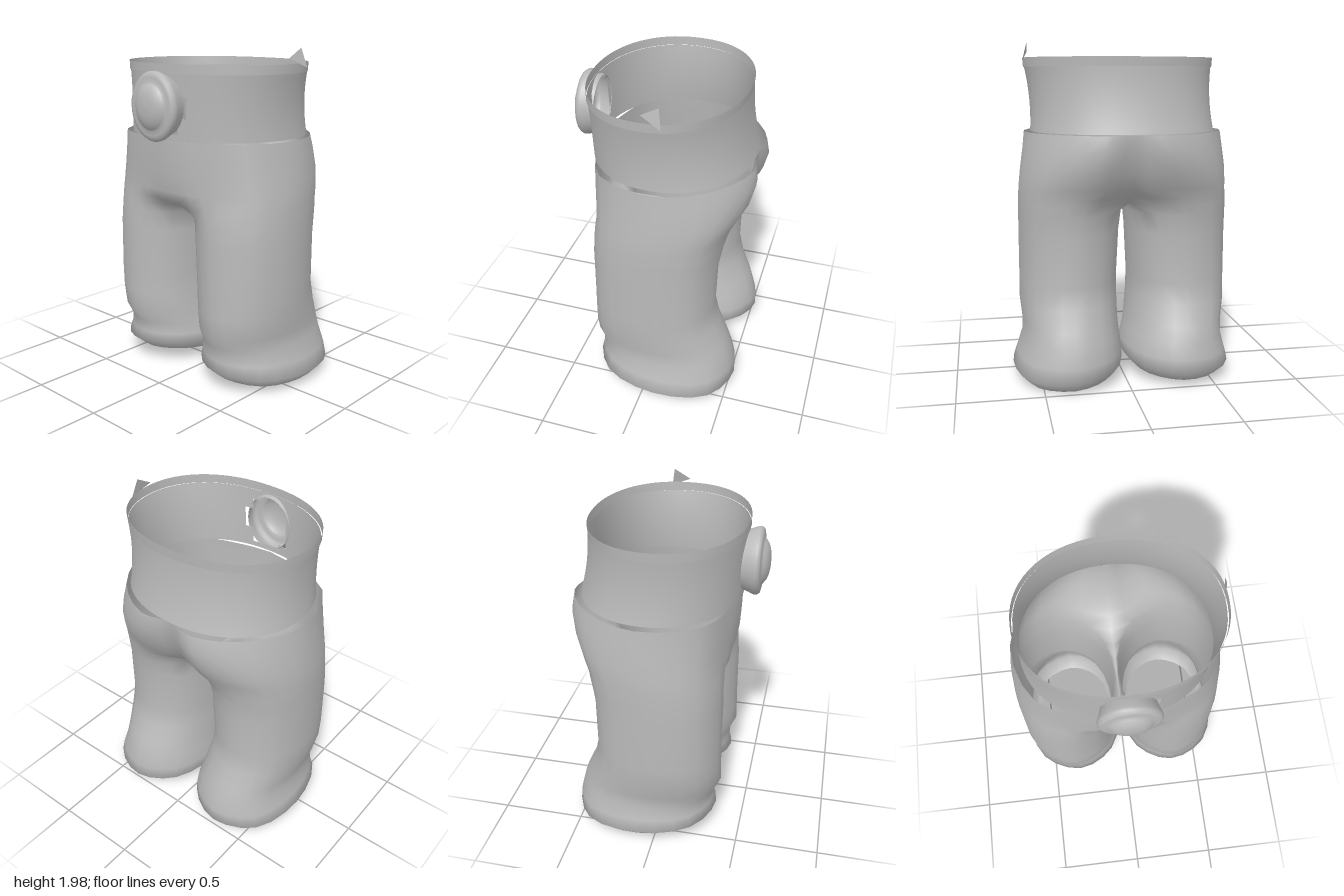
import * as THREE from 'three';
import { mergeVertices } from 'three/addons/utils/BufferGeometryUtils.js';

const cloth = new THREE.MeshStandardMaterial({ color: 0xbababa, side: THREE.DoubleSide });
cloth.name = 'plain grey';

const STEP = 3;            // samples per span of a cross-section
const OUT = 6 * STEP;      // columns from front seam round the outside to back seam
const ALL = 8 * STEP;      // columns of a full leg ring

// Hip rows, open at the seam:
// y, outer x, bulge x, bulge front z, bulge back z, seam front z, seam back z, back corner fullness
const hipRows = [
  [1.49, 0.592, 0.18, 0.385, -0.54, 0.415, -0.51, 0.65],
  [1.40, 0.602, 0.19, 0.385, -0.555, 0.412, -0.50, 0.66],
  [1.28, 0.618, 0.22, 0.375, -0.525, 0.405, -0.465, 0.69],
  [1.18, 0.627, 0.25, 0.367, -0.47, 0.39, -0.41, 0.72],
  [1.125, 0.63, 0.27, 0.365, -0.44, 0.37, -0.35, 0.73],
  [1.08, 0.631, 0.28, 0.365, -0.425, 0.29, -0.28, 0.74],
];
// Leg rows, closed rings: y, outer x, middle x, front z, back z, inner x
const legRows = [
  [1.02, 0.632, 0.30, 0.365, -0.41, 0.012],
  [0.90, 0.632, 0.32, 0.37, -0.39, 0.025],
  [0.60, 0.632, 0.33, 0.37, -0.385, 0.04],
  [0.48, 0.63, 0.33, 0.372, -0.415, 0.037],
  [0.36, 0.61, 0.33, 0.372, -0.47, 0.03],
  [0.28, 0.606, 0.32, 0.335, -0.50, 0.02],
  [0.19, 0.635, 0.32, 0.33, -0.525, 0.003],
  [0.115, 0.66, 0.32, 0.345, -0.53, 0.0],
  [0.05, 0.60, 0.32, 0.26, -0.46, 0.055],
];

const v = (x, z) => new THREE.Vector3(x, 0, z);

// Control points from the front bulge round the outside to the back bulge
function outerPoints(xo, cx, zf, zb, kb) {
  const zm = (zf + zb) / 2, k = 0.73;
  return [
    v(cx, zf), v(cx + (xo - cx) * k, zm + (zf - zm) * k), v(xo, zm),
    v(cx + (xo - cx) * kb, zm + (zb - zm) * kb), v(cx, zb),
  ];
}

function hipRing([y, xo, cx, zf, zb, sf, sb, kb]) {
  const curve = new THREE.CatmullRomCurve3([v(0, sf), ...outerPoints(xo, cx, zf, zb, kb), v(0, sb)]);
  const pts = [];
  for (let i = 0; i <= OUT; i++) pts.push(curve.getPoint(i / OUT));
  for (let i = 1; i <= ALL - OUT; i++) pts.push(v(0, sb + (sf - sb) * i / (ALL - OUT)));
  return pts.map((p) => p.setY(y));
}

function legRing([y, xo, cx, zf, zb, xi]) {
  const zm = (zf + zb) / 2, k = 0.72, xc = cx + (xi - cx) * k;
  const curve = new THREE.CatmullRomCurve3([
    v(xc, zm + (zf - zm) * k), ...outerPoints(xo, cx, zf, zb, 0.74), v(xc, zm + (zb - zm) * k), v(xi, zm),
  ], true);
  const pts = [];
  for (let i = 0; i <= ALL; i++) pts.push(curve.getPoint(i / ALL));
  return pts.map((p) => p.setY(y));
}

// Turns rows of points into a smooth surface, keeping only the cells that pass
function gridGeometry(sides, keep) {
  const pos = [], index = [];
  for (const { rows, flip } of sides) {
    const base = pos.length / 3, n = rows[0].length;
    rows.forEach((row) => row.forEach((p) => pos.push(p.x, p.y, p.z)));
    for (let r = 0; r < rows.length - 1; r++) {
      for (let c = 0; c < n - 1; c++) {
        if (!keep(r, c, rows)) continue;
        const a = base + r * n + c, b = a + 1, d = a + n, e = d + 1;
        if (flip) index.push(a, b, d, b, e, d);
        else index.push(a, d, b, b, d, e);
      }
    }
  }
  let geo = new THREE.BufferGeometry();
  geo.setAttribute('position', new THREE.Float32BufferAttribute(pos, 3));
  geo.setIndex(index);
  geo = mergeVertices(geo, 1e-4);
  geo.computeVertexNormals();
  return geo;
}

function trousersGeometry() {
  const sides = [1, -1].map((s) => {
    const rows = [...hipRows.map(hipRing), ...legRows.map(legRing)];
    rows.flat().forEach((p) => {
      // slight sideways lean above the hem
      const lean = -0.023 * THREE.MathUtils.smoothstep(p.y, 0.1, 0.6);
      // uneven hem, lower at the back and on the outside
      const w = THREE.MathUtils.clamp((0.3 - p.y) / 0.2, 0, 1);
      p.y += w * (0.06 * p.z - 0.05 * (p.x - 0.3) + (s < 0 ? 0.022 : 0));
      p.x = s * p.x + lean;
    });
    return { rows, flip: s < 0 };
  });
  // above the crotch only the outer columns exist
  return gridGeometry(sides, (r, c) => c < OUT || r >= hipRows.length - 1);
}

// Waist rows: y, half width, front z, back z, centre x
function bandGeometry(levels, keep = () => true) {
  const n = 64;
  const rows = levels.map(([y, w, zf, zb, cx]) => {
    const row = [];
    for (let i = 0; i <= n; i++) {
      const a = (i / n) * Math.PI * 2, e = 2 / 2.15;
      const x = cx + Math.sign(Math.sin(a)) * Math.abs(Math.sin(a)) ** e * w;
      const c = Math.sign(Math.cos(a)) * Math.abs(Math.cos(a)) ** e;
      row.push(new THREE.Vector3(x, y, (zf + zb) / 2 + c * (zf - zb) / 2));
    }
    return row;
  });
  return gridGeometry([{ rows, flip: false }], keep);
}

export function createModel() {
  const model = new THREE.Group();
  model.name = 'trousers';
  const add = (name, geo) => {
    const mesh = new THREE.Mesh(geo, cloth);
    mesh.name = name;
    model.add(mesh);
    return mesh;
  };

  add('trouserLegs', trousersGeometry());

  // Wide belt, pinched in the middle and open behind the buckle
  const beltLevels = [];
  for (let i = 0; i <= 12; i++) {
    const t = i / 12;
    const width = 0.556 - 0.06 * t + 0.052 * t * t;
    beltLevels.push([1.864 - 0.37 * t, width, 0.432 - 0.012 * t, -0.466 - 0.054 * t * t, -0.02 * t]);
  }
  add('belt', bandGeometry(beltLevels, (r, c, rows) => {
    const p = rows[r][c].clone().add(rows[r + 1][c + 1]).multiplyScalar(0.5);
    return p.z < 0 || (p.x / 0.145) ** 2 + ((p.y - 1.68) / 0.165) ** 2 > 1;
  }));

  // Thin rim above the belt
  add('waistRim', bandGeometry([[1.915, 0.565, 0.436, -0.467, 0], [1.863, 0.562, 0.436, -0.463, 0]]));

  // Oval buckle: rounded plate with a raised dome
  const profile = [
    [0.150, 0], [0.163, 0.04], [0.174, 0.07], [0.175, 0.088], [0.165, 0.104], [0.145, 0.109],
    [0.122, 0.109], [0.112, 0.120], [0.095, 0.134], [0.07, 0.145], [0.04, 0.151], [0, 0.153],
  ].map(([r, h]) => new THREE.Vector2(r, h));
  const buckle = add('buckle', new THREE.LatheGeometry(profile, 32).rotateX(Math.PI / 2).scale(1, 1.12, 1));
  buckle.position.set(-0.007, 1.682, 0.408);

  // Small torn tab standing on the rim
  const tab = new THREE.BufferGeometry();
  tab.setAttribute('position', new THREE.Float32BufferAttribute(
    [0.54, 1.945, -0.01, 0.575, 1.89, -0.13, 0.545, 2.0, -0.11], 3));
  tab.computeVertexNormals();
  add('tornTab', tab);

  return model;
}
